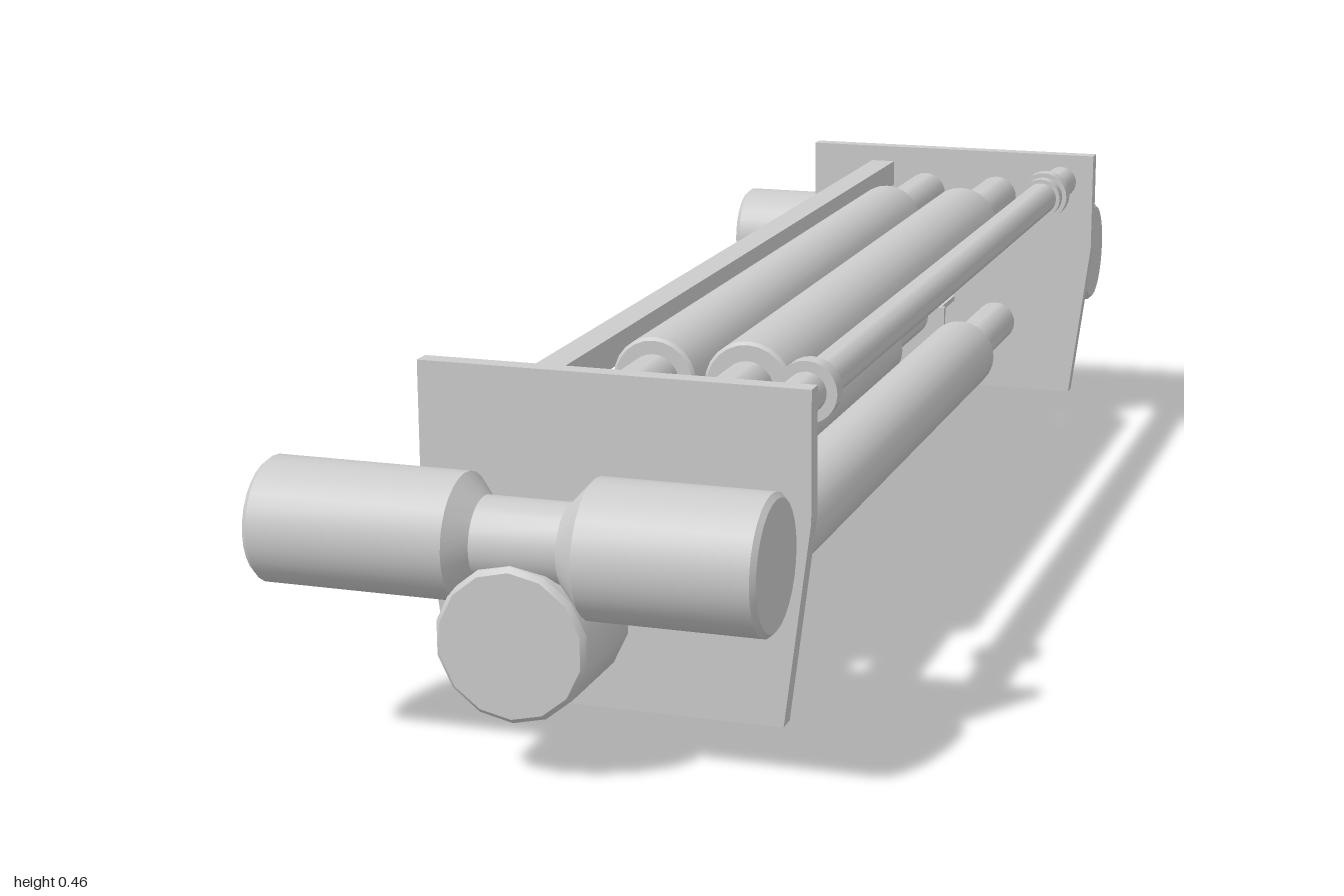
import * as THREE from 'three';
import { toCreasedNormals } from 'three/addons/utils/BufferGeometryUtils.js';

const mat = new THREE.MeshStandardMaterial({ color: 0xcccccc });

function add(parent, name, geo, x = 0, y = 0, z = 0) {
  const mesh = new THREE.Mesh(geo, mat);
  mesh.name = name;
  mesh.position.set(x, y, z);
  parent.add(mesh);
  return mesh;
}

// Box given by its min and max corners
function box(parent, name, [x0, y0, z0], [x1, y1, z1]) {
  return add(parent, name, new THREE.BoxGeometry(x1 - x0, y1 - y0, z1 - z0),
    (x0 + x1) / 2, (y0 + y1) / 2, (z0 + z1) / 2);
}

// Turned solid: profile of [radius, position], with position running along +z
function turned(profile, sides = 24) {
  const pts = profile.map(([r, t]) => new THREE.Vector2(r, t));
  const geo = new THREE.LatheGeometry(pts, sides).rotateX(Math.PI / 2);
  return toCreasedNormals(geo, 0.6);
}

// End plate with tapered lower corners
function plateGeometry() {
  const outline = [[-0.163, 0.455], [-0.163, 0.3], [-0.13, 0.052],
    [0.283, 0.052], [0.315, 0.3], [0.315, 0.455]];
  const shape = new THREE.Shape(outline.map(([x, y]) => new THREE.Vector2(x, y)));
  return new THREE.ExtrudeGeometry(shape, { depth: 0.024, bevelEnabled: false });
}

// Horizontal drive with two barrels joined by a narrow waist
function driveGeometry() {
  return turned([[0, -0.318], [0.069, -0.318], [0.075, -0.311], [0.075, -0.07],
    [0.05, -0.047], [0.05, 0.058], [0.082, 0.088], [0.082, 0.294],
    [0.076, 0.3], [0, 0.3]], 28).rotateY(Math.PI / 2);
}

// Everything at one end; the other end is its mirror image in z
function buildEnd(sign) {
  const end = new THREE.Group();
  end.name = sign > 0 ? 'frontEnd' : 'backEnd';
  const put = (name, lo, hi) => box(end, name,
    [lo[0], lo[1], sign > 0 ? lo[2] : -hi[2]], [hi[0], hi[1], sign > 0 ? hi[2] : -lo[2]]);

  add(end, 'endPlate', plateGeometry(), 0, 0, sign > 0 ? 0.808 : -0.832);
  add(end, 'crossDrive', driveGeometry(), 0, 0.274, sign * 0.915);

  // Low-sided motor in line with the lower roller
  const motor = add(end, 'rollerMotor', turned([[0, 0], [0.093, 0], [0.093, 0.135],
    [0.087, 0.141], [0, 0.141]], 14), 0.003, 0.167, sign * 0.83);
  if (sign < 0) motor.rotation.y = Math.PI;

  // Bracket that carries the blade: square loop, foot and upper arm
  put('bracketFoot', [0.066, 0.06, 0.65], [0.09, 0.069, 0.81]);
  put('bracketTop', [0.066, 0.13, 0.645], [0.09, 0.138, 0.72]);
  put('bracketInnerPost', [0.066, 0.065, 0.642], [0.09, 0.138, 0.65]);
  put('bracketOuterPost', [0.066, 0.065, 0.71], [0.09, 0.205, 0.718]);
  put('bracketArm', [0.07, 0.197, 0.71], [0.084, 0.205, 0.81]);
  return end;
}

export function createModel() {
  const model = new THREE.Group();
  model.name = 'rollerUnit';
  model.add(buildEnd(1), buildEnd(-1));

  // Four rollers: thick sleeve on a thinner shaft
  const L = 0.56, E = 0.81, shaft = 0.033;
  const rollers = [['upperRightRoller', 0.031, 0.38, 0.054], ['upperLeftRoller', 0.153, 0.38, 0.057],
    ['lowerRightRoller', 0.005, 0.165, 0.054], ['lowerLeftRoller', 0.155, 0.165, 0.055]];
  for (const [name, x, y, r] of rollers) {
    add(model, name, turned([[0, -E], [shaft, -E], [shaft, -L], [r - 0.004, -L], [r, -L + 0.004],
      [r, L - 0.004], [r - 0.004, L], [shaft, L], [shaft, E], [0, E]]), x, y, 0);
  }

  // Side rod with stepped collars and a slim tip seated on a disc
  add(model, 'sideRod', turned([[0, -0.81], [0.025, -0.81], [0.025, -0.69], [0.038, -0.69],
    [0.038, -0.665], [0.031, -0.665], [0.031, -0.645], [0.025, -0.645], [0.025, 0.635],
    [0.031, 0.635], [0.031, 0.65], [0.038, 0.65], [0.038, 0.675], [0.025, 0.675],
    [0.025, 0.765], [0.015, 0.765], [0.015, 0.797], [0.038, 0.797], [0.038, 0.81], [0, 0.81]]),
    0.262, 0.41, 0);

  // Tie beam between the plates
  box(model, 'tieBeam', [-0.063, 0.39, -0.81], [-0.025, 0.43, 0.81]);

  // Thin hanging blade with its carrier strip
  box(model, 'blade', [0.073, 0, -0.618], [0.079, 0.082, 0.618]);
  box(model, 'bladeCarrier', [0.07, 0.08, -0.65], [0.084, 0.09, 0.65]);
  return model;
}
